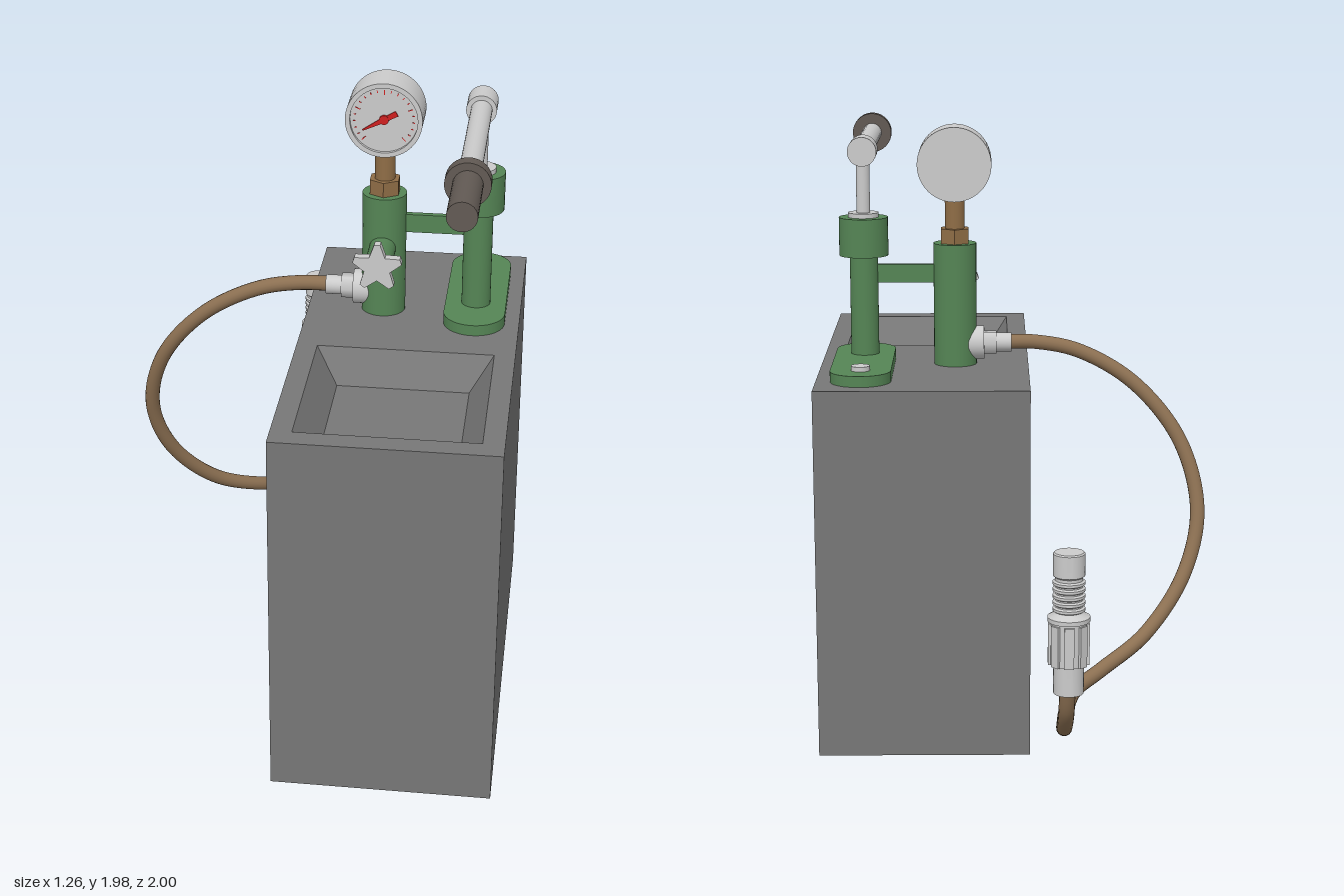
import * as THREE from 'three';
import { toCreasedNormals } from 'three/addons/utils/BufferGeometryUtils.js';

const mat = (color) => new THREE.MeshStandardMaterial({ color });

export function createModel() {
  const model = new THREE.Group();
  const grey = mat(0xcccccc), green = mat(0x558555), dark = mat(0x777777);
  const brass = mat(0x8f6d46), rubber = mat(0x8c7052), gripMat = mat(0x625a54), red = mat(0xd02020);

  function add(name, geo, material, x = 0, y = 0, z = 0, parent = model) {
    const mesh = new THREE.Mesh(geo, material);
    mesh.name = name;
    mesh.position.set(x, y, z);
    parent.add(mesh);
    return mesh;
  }
  // cylinder between two values along one axis; u and v are the other two coordinates in xyz order
  function rod(name, material, axis, from, to, r, u, v, sides = 32) {
    const g = new THREE.CylinderGeometry(r, r, to - from, sides);
    const mid = (from + to) / 2;
    if (axis === 'x') return add(name, g.rotateZ(Math.PI / 2), material, mid, u, v);
    if (axis === 'z') return add(name, g.rotateX(Math.PI / 2), material, u, v, mid);
    return add(name, g, material, u, mid, v);
  }
  const lathe = (pts, n = 40) => toCreasedNormals(
    new THREE.LatheGeometry(pts.map((p) => new THREE.Vector2(...p)), n), 0.5);

  // Tank: rectangular loops from the bottom up, over the rim and down into the tray
  const ring = (x0, x1, z0, z1, y) => [[x0, y, z1], [x1, y, z1], [x1, y, z0], [x0, y, z0]];
  const rings = [
    ring(-0.05, 0.63, -0.39, 1, 0), ring(-0.05, 0.63, -0.39, 1, 1.2),
    ring(0.015, 0.565, 0.365, 0.93, 1.2), ring(0.085, 0.495, 0.435, 0.86, 1.1),
  ];
  const verts = [];
  const quad = (a, b, c, d) => verts.push(...a, ...b, ...c, ...a, ...c, ...d);
  for (let k = 0; k < 3; k++) for (let i = 0; i < 4; i++) {
    const j = (i + 1) % 4;
    quad(rings[k][i], rings[k][j], rings[k + 1][j], rings[k + 1][i]);
  }
  quad(...rings[3]);
  quad(...[...rings[0]].reverse());
  const tank = new THREE.BufferGeometry();
  tank.setAttribute('position', new THREE.Float32BufferAttribute(verts, 3));
  tank.computeVertexNormals();
  add('tank', tank, dark);

  // Pump: rounded base plate, barrel, collar and plunger
  const px = 0.487, pz = 0.06;
  const plate = new THREE.Shape();
  plate.absarc(0, 0.187, 0.097, 0, Math.PI);
  plate.absarc(0, -0.187, 0.097, Math.PI, Math.PI * 2);
  const plateGeo = new THREE.ExtrudeGeometry(plate, { depth: 0.035, bevelEnabled: false, curveSegments: 24 });
  add('basePlate', toCreasedNormals(plateGeo.rotateX(-Math.PI / 2), 0.5), green, px, 1.2, -0.047);
  rod('plateScrew', grey, 'y', 1.23, 1.25, 0.03, px, -0.23);
  rod('pumpBarrel', green, 'y', 1.2, 1.58, 0.046, px, pz);
  rod('pumpCollar', green, 'y', 1.56, 1.685, 0.08, px, pz);
  rod('plungerSeal', grey, 'y', 1.68, 1.7, 0.05, px, pz);
  rod('plungerRod', grey, 'y', 1.69, 1.9, 0.022, px, pz);

  // Lever
  rod('leverHead', grey, 'z', 0.01, 0.105, 0.047, px, 1.9);
  rod('leverArm', grey, 'z', 0.1, 0.7, 0.033, px, 1.9);
  rod('gripFlange', gripMat, 'z', 0.667, 0.71, 0.067, px, 1.9);
  rod('leverGrip', gripMat, 'z', 0.7, 0.94, 0.044, px, 1.9);

  // Gauge column and bridge to the pump
  const cx = 0.19;
  rod('gaugeColumn', green, 'y', 1.2, 1.6, 0.07, cx, pz);
  add('bridge', new THREE.BoxGeometry(0.2, 0.06, 0.02), green, 0.35, 1.5, pz);
  add('gaugeNut', toCreasedNormals(new THREE.CylinderGeometry(0.052, 0.052, 0.05, 6), 0.5), brass, cx, 1.623, pz);
  rod('gaugeStem', brass, 'y', 1.64, 1.78, 0.032, cx, pz);

  // Gauge: case with raised rim, ticks and needle
  const gauge = new THREE.Group();
  gauge.name = 'gauge';
  gauge.position.set(cx, 1.86, 0.06);
  model.add(gauge);
  add('gaugeCase', lathe([[0, -0.066], [0.12, -0.066], [0.12, 0.066], [0.105, 0.066], [0.105, 0.054], [0, 0.054]], 48)
    .rotateX(Math.PI / 2), grey, 0, 0, 0, gauge);
  for (let i = 0; i <= 20; i++) {
    const a = THREE.MathUtils.degToRad(-45 + 13.5 * i);
    const len = i % 5 ? 0.008 : 0.016, r = 0.096 - len / 2;
    add('tick', new THREE.BoxGeometry(len, 0.0025, 0.002), red, r * Math.cos(a), r * Math.sin(a), 0.0545, gauge)
      .rotation.z = a;
  }
  const needle = new THREE.Shape([[-0.075, -0.002], [-0.02, -0.007], [0.045, -0.009], [0.045, 0.009], [-0.02, 0.007], [-0.075, 0.002]]
    .map((p) => new THREE.Vector2(...p)));
  add('needle', new THREE.ExtrudeGeometry(needle, { depth: 0.004, bevelEnabled: false }), red, 0, 0, 0.055, gauge)
    .rotation.z = 0.5;
  add('needleHub', new THREE.CylinderGeometry(0.015, 0.015, 0.008, 20).rotateX(Math.PI / 2), red, 0, 0, 0.057, gauge);

  // Release valve with a five-pointed knob
  rod('valveStem', green, 'z', 0.08, 0.26, 0.042, cx, 1.43);
  const star = [];
  for (let i = 0; i < 5; i++) {
    const a = Math.PI / 2 + (i * Math.PI * 2) / 5;
    for (const [r, d] of [[0.078, -0.12], [0.078, 0.12], [0.042, Math.PI / 5]])
      star.push(new THREE.Vector2(r * Math.cos(a + d), r * Math.sin(a + d)));
  }
  add('valveKnob', new THREE.ExtrudeGeometry(new THREE.Shape(star), { depth: 0.03, bevelEnabled: false }),
    grey, cx, 1.435, 0.253);

  // Hose outlet on the column
  rod('outletBoss', grey, 'x', 0.095, 0.18, 0.055, 1.27, pz);
  rod('outletNut', grey, 'x', 0.055, 0.1, 0.04, 1.27, pz, 6);
  rod('hoseFerrule', grey, 'x', 0.005, 0.06, 0.031, 1.27, pz);

  // Hose
  const path = new THREE.CatmullRomCurve3([
    [0.03, 1.272, 0.06], [-0.08, 1.27, 0.06], [-0.22, 1.24, 0.057], [-0.4, 1.135, 0.04], [-0.55, 0.95, 0],
    [-0.607, 0.73, -0.06], [-0.56, 0.53, -0.13], [-0.43, 0.36, -0.235], [-0.28, 0.275, -0.35],
    [-0.19, 0.24, -0.45], [-0.16, 0.215, -0.56], [-0.15, 0.205, -0.66], [-0.146, 0.25, -0.8],
    [-0.148, 0.33, -0.893], [-0.15, 0.44, -0.935],
  ].map((p) => new THREE.Vector3(...p)));
  add('hose', new THREE.TubeGeometry(path, 120, 0.024, 16), rubber);

  // Quick coupling at the hose end
  const coupling = new THREE.Group();
  coupling.name = 'coupling';
  coupling.position.set(-0.152, 0, -0.935);
  model.add(coupling);
  const profile = [[0, 0.41], [0.045, 0.41], [0.045, 0.5], [0.055, 0.5], [0.055, 0.63], [0.063, 0.632],
    [0.063, 0.645], [0.045, 0.655]];
  for (let y = 0.66; y < 0.75; y += 0.02)
    profile.push([0.041, y], [0.048, y + 0.004], [0.048, y + 0.012], [0.041, y + 0.016]);
  profile.push([0.041, 0.765], [0.047, 0.77], [0.047, 0.836], [0.043, 0.84], [0, 0.84]);
  add('couplingBody', lathe(profile), grey, 0, 0, 0, coupling);
  for (let i = 0; i < 8; i++) {
    const a = (i * Math.PI) / 4;
    add('sleeveRib', new THREE.BoxGeometry(0.028, 0.125, 0.012), grey,
      0.055 * Math.sin(a), 0.5625, 0.055 * Math.cos(a), coupling).rotation.y = a;
  }
  return model;
}
